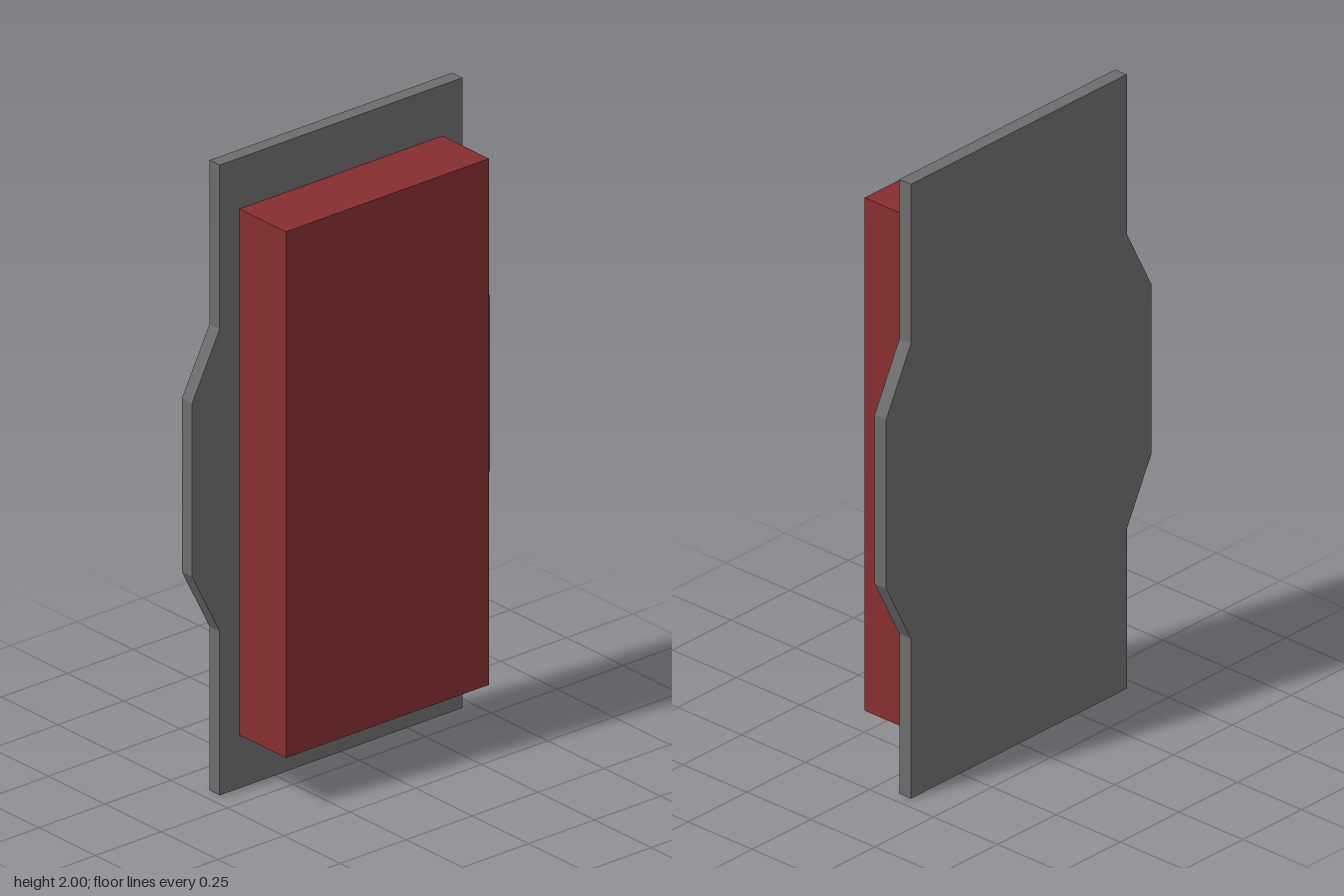
import * as THREE from 'three';

export function createModel() {
  const model = new THREE.Group();
  const grey = new THREE.MeshStandardMaterial({ color: 0x6c6c6c });
  grey.name = 'grey plate';
  const red = new THREE.MeshStandardMaterial({ color: 0x862e30 });
  red.name = 'dark red';

  // Backing plate: half outline (z, y), mirrored, extruded along x
  const half = [[0.46, 0], [0.46, 0.52], [0.565, 0.725], [0.565, 1.275], [0.46, 1.48], [0.46, 2]];
  const outline = [...half, ...half.map(([z, y]) => [-z, y]).reverse()];
  const shape = new THREE.Shape(outline.map(([z, y]) => new THREE.Vector2(z, y)));
  const plateGeometry = new THREE.ExtrudeGeometry(shape, { depth: 0.045, bevelEnabled: false });
  plateGeometry.rotateY(-Math.PI / 2).translate(-0.08, 0, 0);
  const plate = new THREE.Mesh(plateGeometry, grey);
  plate.name = 'backingPlate';
  model.add(plate);

  // Raised block on the plate's +x face
  const block = new THREE.Mesh(new THREE.BoxGeometry(0.205, 1.67, 0.77), red);
  block.name = 'raisedBlock';
  block.position.set(0.0225, 1.003, 0);
  model.add(block);

  return model;
}
